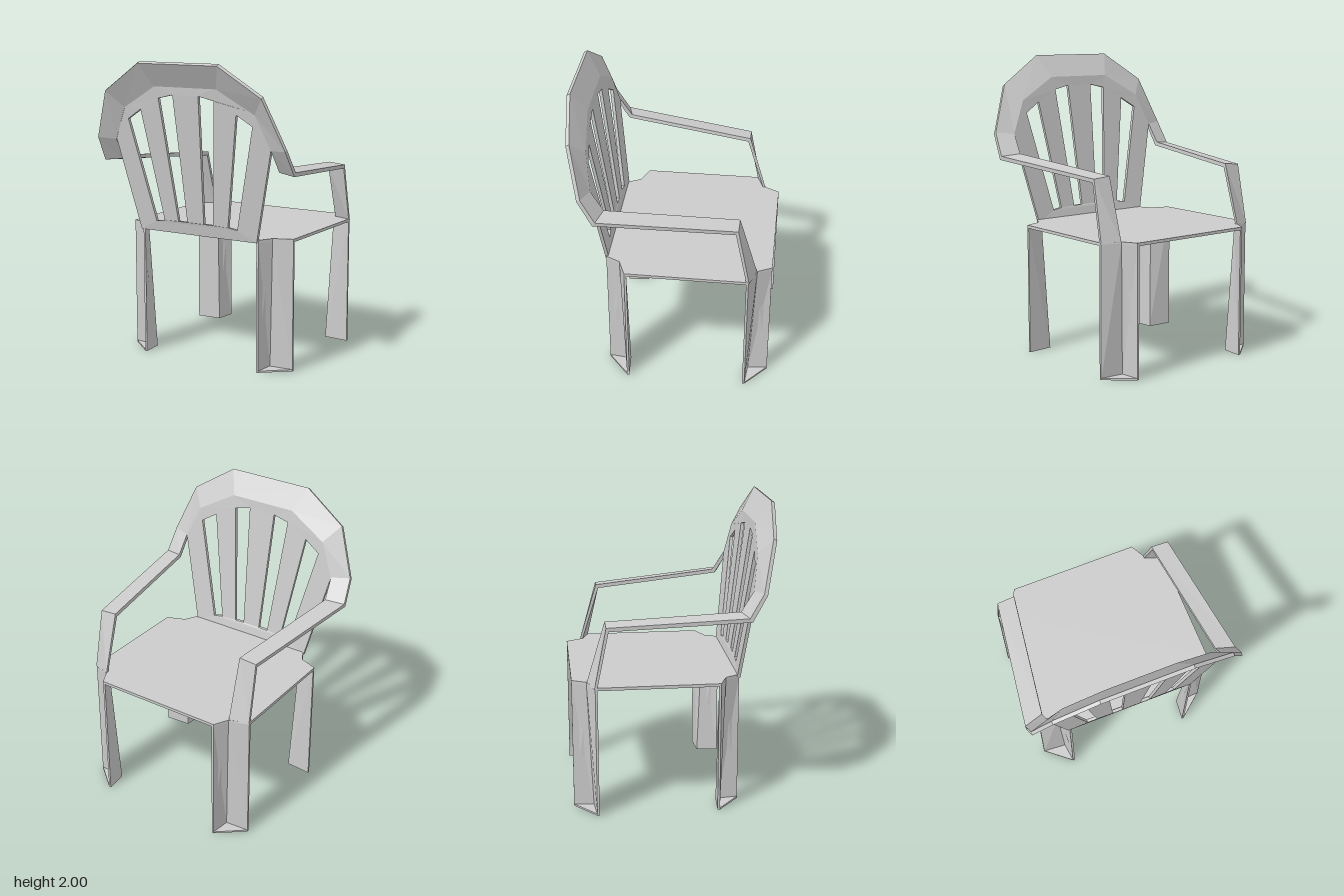
import * as THREE from 'three';

const material = new THREE.MeshStandardMaterial({ color: 0xcccccc, flatShading: true, side: THREE.DoubleSide });

function part(name, geometry) {
  const mesh = new THREE.Mesh(geometry, material);
  mesh.name = name;
  return mesh;
}

// Closed solid through equal-length rings of [x, y, z] points, faces turned outward
function loft(rings) {
  const n = rings[0].length;
  const tris = [];
  for (let r = 0; r < rings.length - 1; r++) {
    for (let i = 0; i < n; i++) {
      const j = (i + 1) % n;
      const [a, b, c, d] = [rings[r][i], rings[r][j], rings[r + 1][j], rings[r + 1][i]];
      tris.push([a, b, c], [a, c, d]);
    }
  }
  const first = rings[0], last = rings[rings.length - 1];
  for (let i = 1; i < n - 1; i++) {
    tris.push([first[0], first[i + 1], first[i]], [last[0], last[i], last[i + 1]]);
  }
  let volume = 0;
  for (const [a, b, c] of tris) {
    volume += new THREE.Vector3(...a).dot(new THREE.Vector3(...b).cross(new THREE.Vector3(...c)));
  }
  if (volume < 0) tris.forEach((t) => t.reverse());
  const geometry = new THREE.BufferGeometry();
  geometry.setAttribute('position', new THREE.Float32BufferAttribute(tris.flat(2), 3));
  geometry.computeVertexNormals();
  return geometry;
}

// Leg plan, mirrored by side (x) and end (z): 1 is the backrest end, -1 the open end
const CENTRE_X = 0.01, CENTRE_Z = -0.12, SEAT_TOP = 0.88;
const legX = (side, x) => side * x + CENTRE_X;
const legZ = (end, z) => end * (z - CENTRE_Z) + CENTRE_Z;
const TIP_OUT = [0.625, 0.285], TIP_IN = [0.45, 0.43];
const VALLEY_TOP = [0.5, 0.335], VALLEY_LOW = [0.465, 0.298];

// V-section leg with its valley facing the corner, closed by a triangular foot
function makeLeg(side, end) {
  const t = 0.015;
  const at = (y) => ([x, z]) => [legX(side, x), y, legZ(end, z)];
  const section = (y, v) => [
    v, TIP_IN, [TIP_IN[0] - t, TIP_IN[1]], [v[0] - t, v[1] - t], [TIP_OUT[0], TIP_OUT[1] - t], TIP_OUT,
  ].map(at(y));
  const foot = [VALLEY_LOW, TIP_IN, TIP_OUT];
  const leg = new THREE.Group();
  leg.name = end > 0 ? 'backrestLeg' : 'armPostLeg';
  leg.add(part('legShell', loft([section(0, VALLEY_LOW), section(0.87, VALLEY_TOP)])));
  leg.add(part('foot', loft([foot.map(at(0)), foot.map(at(0.012))])));
  return leg;
}

// Seat slab with notched corners that follow the legs
function makeSeat() {
  const corner = [TIP_IN, VALLEY_TOP, TIP_OUT];
  const outline = [];
  for (const [side, end] of [[1, -1], [1, 1], [-1, 1], [-1, -1]]) {
    const pts = corner.map(([x, z]) => new THREE.Vector2(legX(side, x), legZ(end, z)));
    outline.push(...(side * end < 0 ? pts : pts.reverse()));
  }
  const g = new THREE.ExtrudeGeometry(new THREE.Shape(outline), { depth: 0.02, bevelEnabled: false });
  g.rotateX(Math.PI / 2);
  g.translate(0, SEAT_TOP, 0);
  return part('seat', g);
}

// Leaning, gently curved backrest surface
const backZ = (x, y) => 0.425 + 0.133 * (y - 0.86) - 0.055 * x * x;
const BACK_EDGE = [[0.595, 1.48], [0.497, 1.7], [0.235, 1.85]];
const SLOTS = [
  [[0.475, 1.614], [0.365, 1.683], [0.247, 0.942], [0.315, 0.931]],
  [[0.212, 1.762], [0.098, 1.788], [0.064, 0.947], [0.135, 0.945]],
];

// Backrest panel with four tapering slots
function makeBackrest() {
  const half = [[0.45, 0.86], ...BACK_EDGE];
  const mirror = ([x, y]) => [-x, y];
  const vec = ([x, y]) => new THREE.Vector2(x, y);
  const shape = new THREE.Shape([...half, ...half.map(mirror).reverse()].map(vec));
  for (const slot of SLOTS) {
    shape.holes.push(new THREE.Path(slot.map(vec)), new THREE.Path(slot.map(mirror).map(vec)));
  }
  const g = new THREE.ExtrudeGeometry(shape, { depth: 0.022, bevelEnabled: false });
  const p = g.attributes.position;
  for (let i = 0; i < p.count; i++) p.setZ(i, p.getZ(i) + backZ(p.getX(i), p.getY(i)));
  g.computeVertexNormals();
  return part('backrest', g);
}

// One band: arm post, armrest, flared rim, then mirrored down the other side
function makeArmsAndRim() {
  const rimInner = BACK_EDGE.map(([x, y]) => [x, y, backZ(x, y)]);
  const rimOuter = [[0.717, 1.49, 0.53], [0.592, 1.81, 0.605], [0.3, 2.0, 0.645]];
  // Each station: inner edge, outer edge, thickness direction, sideways shift
  const stations = [
    [[0.5, 0.87, -0.575], [0.625, 0.87, -0.53], [0, 0, 0.018], CENTRE_X],
    [[0.498, 1.28, -0.452], [0.618, 1.27, -0.45], [0, -0.025, 0.016], CENTRE_X],
    [[0.605, 1.35, 0.405], [0.732, 1.338, 0.44], [0, -0.025, 0.018], 0],
    ...rimInner.map((inner, i) => [inner, rimOuter[i], [0, -0.012, 0.022], 0]),
  ];
  const ring = (side) => ([inner, outer, t, shift]) => {
    const thick = (p) => p.map((v, i) => v + t[i]);
    return [inner, outer, thick(outer), thick(inner)].map(([x, y, z]) => [side * x + shift, y, z]);
  };
  const rings = [...stations.map(ring(1)), ...stations.map(ring(-1)).reverse()];
  return part('armsAndRim', loft(rings));
}

export function createModel() {
  const chair = new THREE.Group();
  chair.name = 'armchair';
  chair.add(makeSeat(), makeBackrest(), makeArmsAndRim());
  for (const side of [1, -1]) {
    for (const end of [1, -1]) chair.add(makeLeg(side, end));
  }
  return chair;
}
